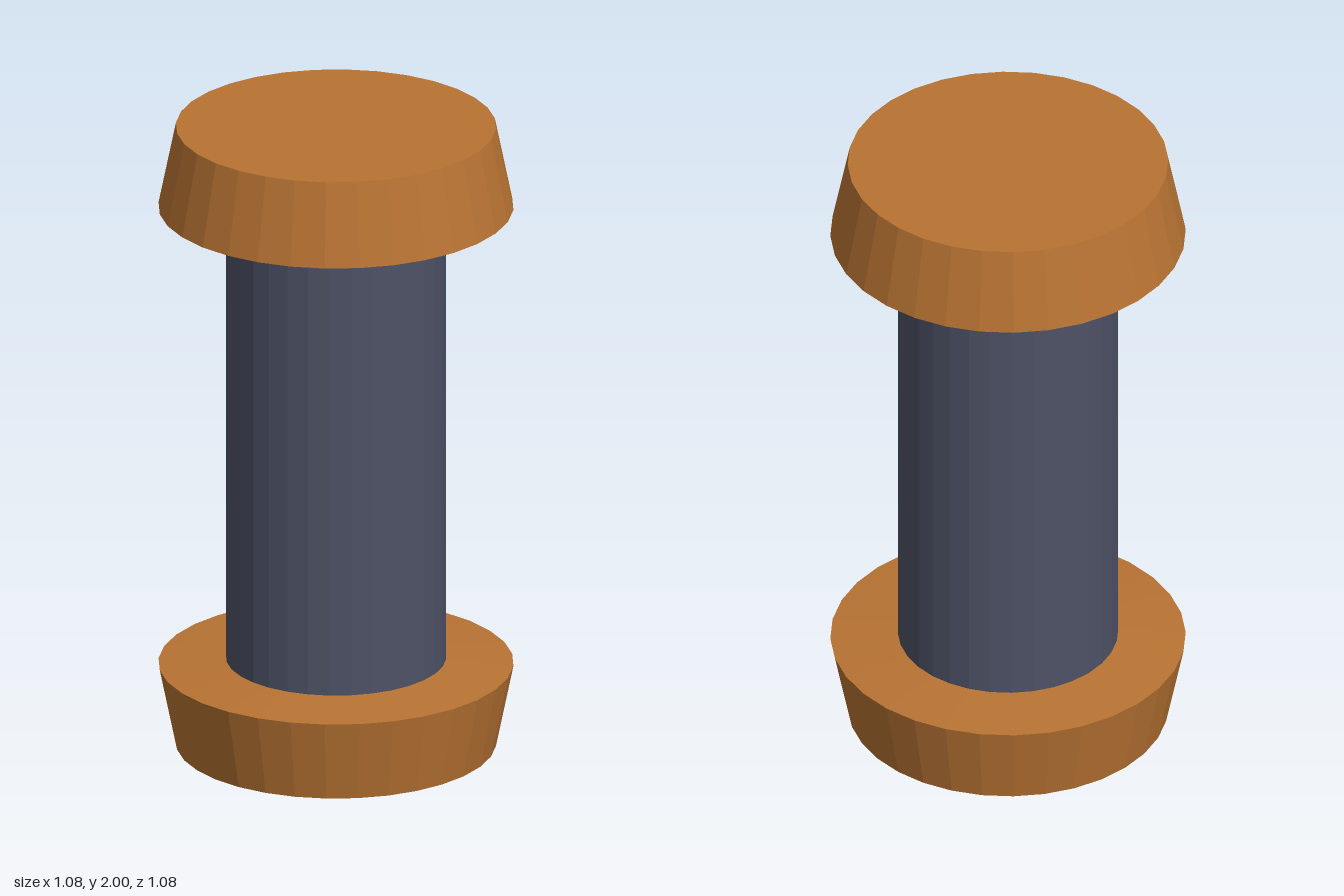
import * as THREE from 'three';

const SIDES = 32;

export function createModel() {
  const model = new THREE.Group();
  model.name = 'bolt';

  const copper = new THREE.MeshStandardMaterial({ color: 0xb87333, flatShading: true });
  copper.name = 'copper brown';
  const steel = new THREE.MeshStandardMaterial({ color: 0x4d5266, flatShading: true });
  steel.name = 'slate grey';

  // Faceted solid turned from a profile of [radius, height], listed bottom to top
  function turned(name, profile, material) {
    const points = profile.map(([r, y]) => new THREE.Vector2(r, y));
    const mesh = new THREE.Mesh(new THREE.LatheGeometry(points, SIDES), material);
    mesh.name = name;
    model.add(mesh);
  }

  // Tapered head with a shallow cone on the side facing the shaft
  const foot = [[0, 0], [0.487, 0], [0.54, 0.26], [0.335, 0.277], [0, 0.277]];
  const head = foot.map(([r, y]) => [r, 2 - y]).reverse();
  turned('bottomHead', foot, copper);
  turned('topHead', head, copper);

  // Straight shaft between the heads
  turned('shaft', [[0.335, 0.27], [0.335, 1.73]], steel);

  return model;
}
